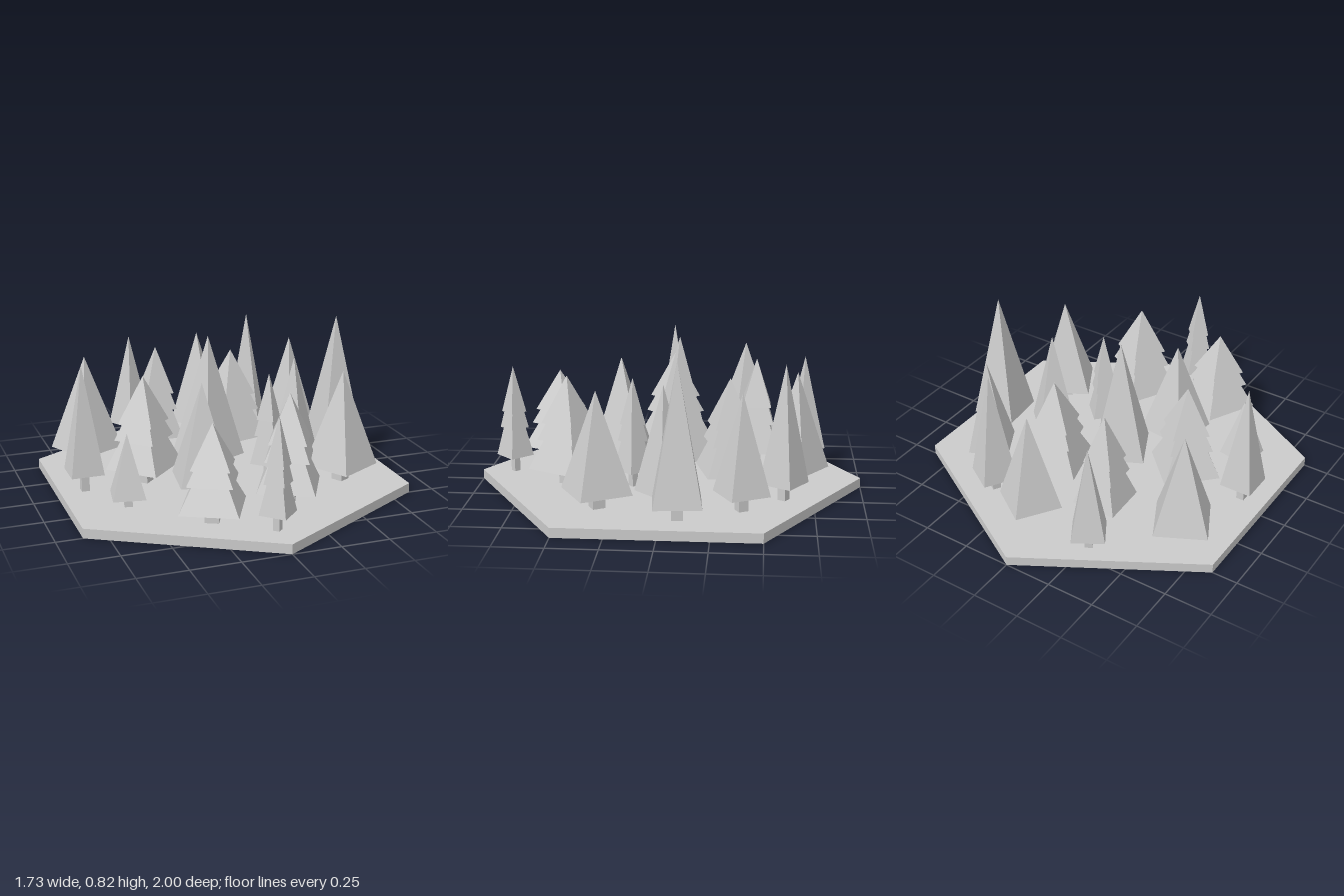
import * as THREE from 'three';

const material = new THREE.MeshStandardMaterial({ color: 0xcccccc, flatShading: true });
const shellMaterial = new THREE.MeshStandardMaterial({
  color: 0xcccccc, flatShading: true, side: THREE.DoubleSide,
});
const BASE = 0.05;
const TRUNK_START = 0.036;

// Plain trees: x, z, corner radius, foliage bottom, tip height, yaw in degrees, trunk start
const PLAIN = [
  [-0.287, -0.708, 0.118, 0.133, 0.636, 76],
  [0.098, -0.66, 0.172, 0.131, 0.636, 11],
  [0.375, -0.595, 0.127, 0.136, 0.738, 13],
  [-0.622, -0.385, 0.19, 0.133, 0.636, 72],
  [0.553, -0.39, 0.148, 0.135, 0.636, 73],
  [0.698, -0.087, 0.166, 0.13, 0.818, 50],
  [-0.045, -0.05, 0.19, 0.138, 0.782, 71, 0.01],
  [0.42, 0, 0.146, 0.095, 0.636, 0],
  [-0.737, 0.025, 0.12, 0.15, 0.713, 45],
  [-0.585, 0.30, 0.116, 0.105, 0.426, 35],
  [-0.19, 0.274, 0.185, 0.133, 0.636, 37],
  [0.558, 0.315, 0.19, 0.13, 0.636, 74],
];

// Tiered trees, same columns
const TIERED = [
  [-0.21, -0.449, 0.165, 0.139, 0.636, 47],
  [0.178, -0.32, 0.205, 0.137, 0.618, 60],
  [-0.413, 0, 0.205, 0.137, 0.618, 0],
  [0.208, 0.173, 0.1, 0.137, 0.618, 0],
  [0.182, 0.512, 0.205, 0.137, 0.618, 17],
  [-0.255, 0.617, 0.205, 0.126, 0.546, 18],
  [-0.003, 0.825, 0.098, 0.137, 0.618, 0],
];

// Tiers as fractions of foliage height and radius: bottom, height, radius
const ONE_TIER = [[0, 1, 1]];
const THREE_TIERS = [[0, 0.77, 1], [0.316, 0.59, 0.77], [0.495, 0.505, 0.66]];

function addPart(parent, geometry, name, y, mat = material) {
  const mesh = new THREE.Mesh(geometry, mat);
  mesh.name = name;
  mesh.position.y = y;
  parent.add(mesh);
}

// Open-ended tube standing between two heights
function addTube(parent, name, radius, sides, low, high) {
  addPart(parent, new THREE.CylinderGeometry(radius, radius, high - low, sides, 1, true),
    name, (low + high) / 2, shellMaterial);
}

function makeTree([x, z, radius, bottom, tip, yaw, trunkStart = TRUNK_START], tiers, name) {
  const tree = new THREE.Group();
  tree.name = name;
  tree.position.set(x, 0, z);
  tree.rotation.y = THREE.MathUtils.degToRad(yaw);

  // Hollow square trunk, poking through the ground
  addTube(tree, 'trunk', radius * 0.24, 4, trunkStart, bottom);

  // Four-sided foliage cones
  const height = tip - bottom;
  for (const [start, size, width] of tiers) {
    const h = height * size;
    addPart(tree, new THREE.ConeGeometry(radius * width, h, 4), 'foliage',
      bottom + height * start + h / 2);
  }
  return tree;
}

export function createModel() {
  const model = new THREE.Group();
  model.name = 'forestTile';

  // Hexagonal ground tile, open underneath, with corners at front and back
  addPart(model, new THREE.CircleGeometry(1, 6, Math.PI / 2).rotateX(-Math.PI / 2),
    'groundTop', BASE, shellMaterial);
  addTube(model, 'groundRim', 1, 6, 0, BASE);

  for (const row of PLAIN) model.add(makeTree(row, ONE_TIER, 'plainTree'));
  for (const row of TIERED) model.add(makeTree(row, THREE_TIERS, 'tieredTree'));
  return model;
}
